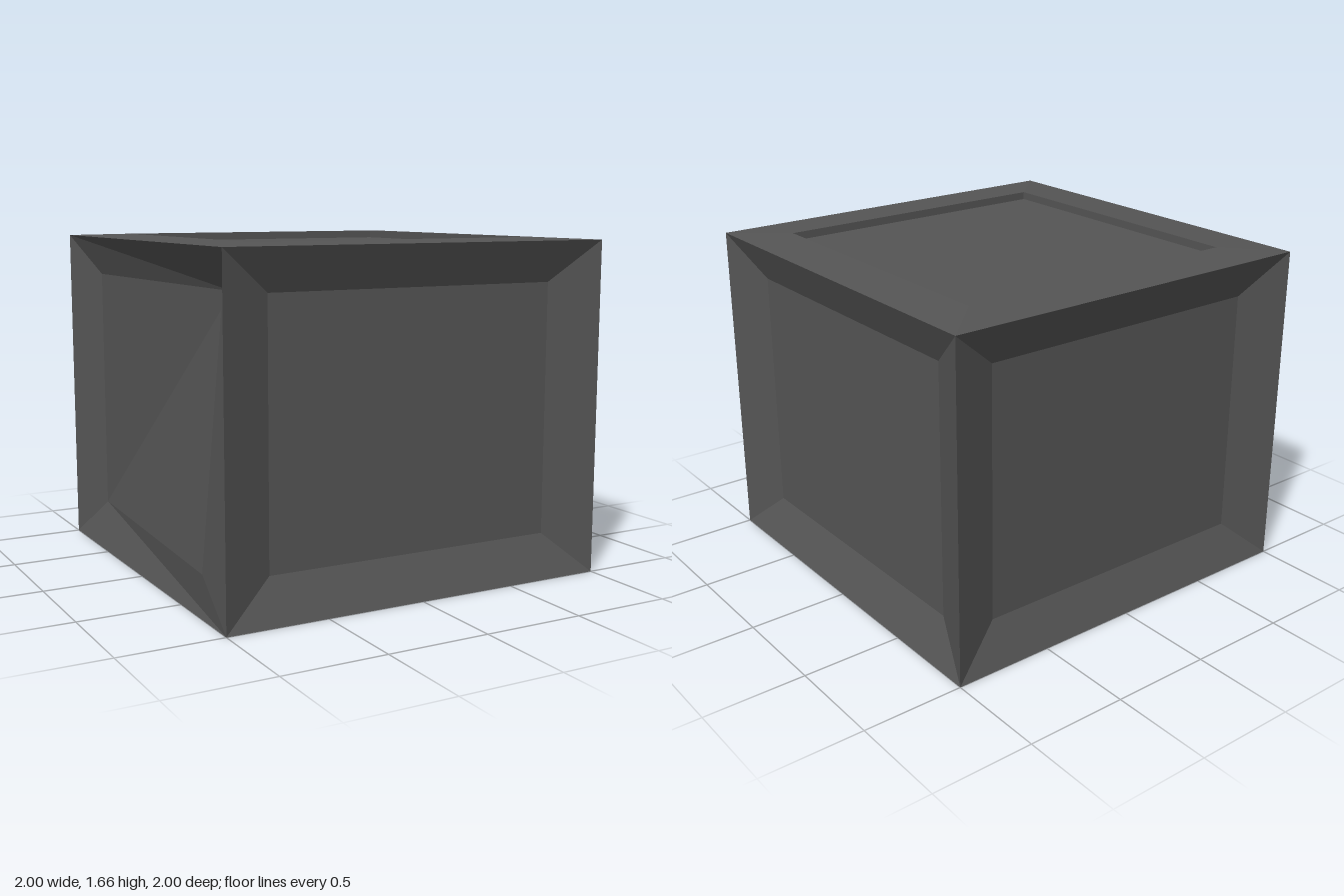
import * as THREE from 'three';

const HEIGHT = 1.65, INSET = 0.75, DEPTH = 0.09;
const LOW = 0.21, HIGH = 1.45;

// Flat-shaded geometry from convex polygons, corners anticlockwise seen from outside
function facets(polygons) {
  const positions = [];
  for (const p of polygons) {
    for (let i = 1; i < p.length - 1; i++) positions.push(...p[0], ...p[i], ...p[i + 1]);
  }
  const geometry = new THREE.BufferGeometry();
  geometry.setAttribute('position', new THREE.Float32BufferAttribute(positions, 3));
  geometry.computeVertexNormals();
  return geometry;
}

// Polygons joining two four-cornered loops
function band(outer, inner) {
  return outer.map((p, i) => {
    const j = (i + 1) % 4;
    return [p, outer[j], inner[j], inner[i]];
  });
}

// Horizontal square loop, anticlockwise seen from above
const square = (r, y) => [[-r, y, r], [r, y, r], [r, y, -r], [-r, y, -r]];

export function createModel() {
  const group = new THREE.Group();
  const grey = new THREE.MeshStandardMaterial({ color: 0x555555 });
  grey.name = 'dark grey';
  const add = (name, polygons, turn = 0) => {
    const mesh = new THREE.Mesh(facets(polygons), grey);
    mesh.name = name;
    mesh.rotation.y = turn;
    group.add(mesh);
  };

  // Three sides with a bevelled, sunken panel
  const frame = [[-1, 0, 1], [1, 0, 1], [1, HEIGHT, 1], [-1, HEIGHT, 1]];
  const z = 1 - DEPTH;
  const panel = [[-INSET, LOW, z], [INSET, LOW, z], [INSET, HIGH, z], [-INSET, HIGH, z]];
  ['frontSide', 'leftSide', 'backSide'].forEach((name, i) => {
    add(name, [...band(frame, panel), panel], i * Math.PI / 2);
  });

  // Right side, whose panel is warped towards the front corner
  const x = -1 + DEPTH;
  const backLow = [-1, 0, -1], backHigh = [-1, HEIGHT, -1];
  const frontLow = [-1, 0, 1], frontHigh = [-1, HEIGHT, 1];
  const panelLow = [x, LOW, -INSET], panelHigh = [x, HIGH, -INSET];
  const deep = [-0.84, HIGH, INSET], flush = [-1, LOW, INSET], edge = [-1, HIGH, 1];
  add('rightSide', [
    [backLow, frontLow, panelLow],
    [backLow, panelLow, panelHigh, backHigh],
    [panelLow, frontLow, flush],
    [panelLow, flush, deep],
    [panelLow, deep, panelHigh],
    [flush, edge, deep],
    [flush, frontLow, edge],
    [backHigh, panelHigh, deep, frontHigh],
    [deep, edge, frontHigh],
  ]);

  // Top rim around a shallow square recess
  const lip = square(INSET, 1.66), floor = square(INSET, 1.62);
  add('topRim', band(square(1, HEIGHT), lip));
  add('topRecess', [...band(lip, floor), floor]);

  // Underside
  add('base', [square(1, 0).reverse()]);

  return group;
}
